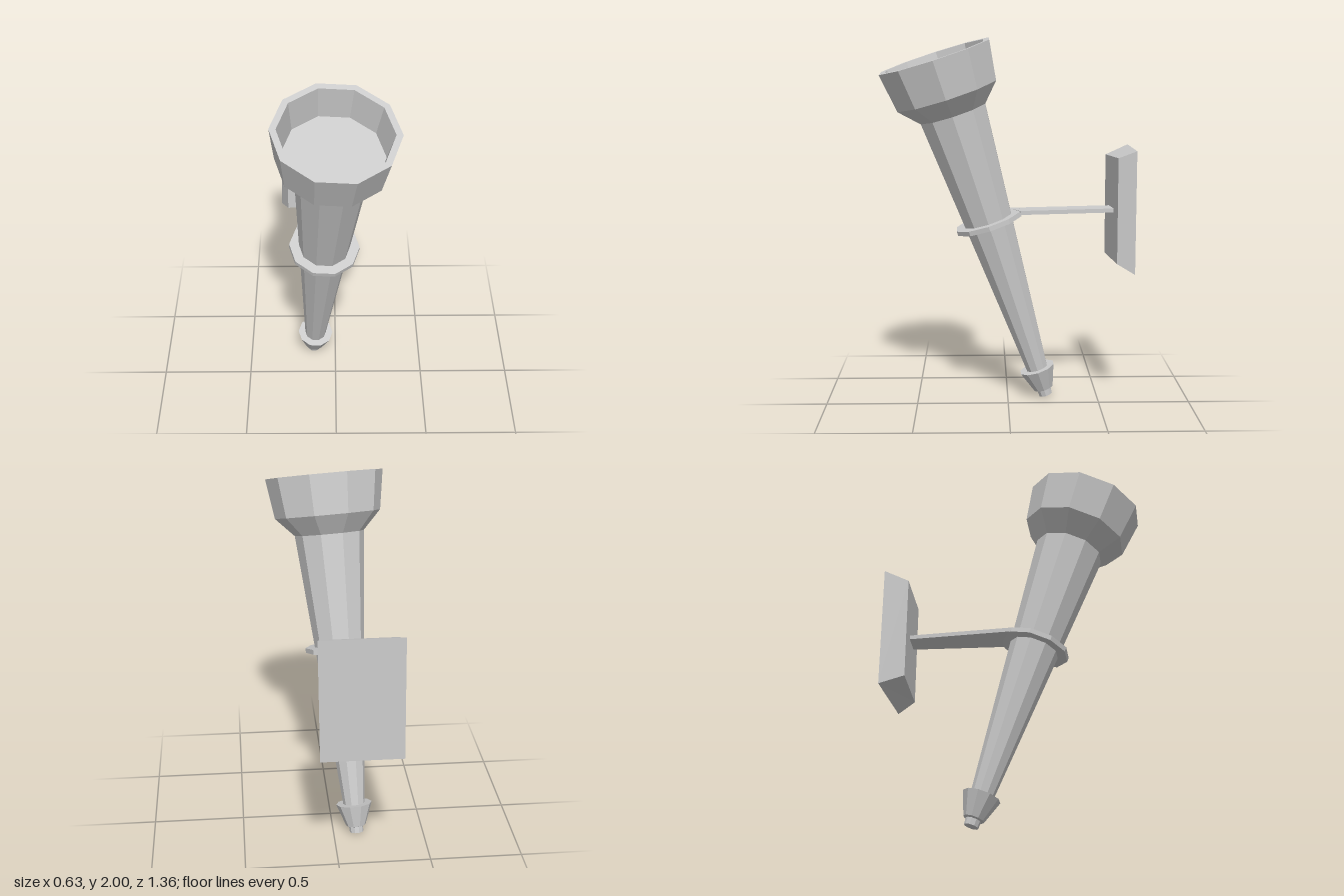
import * as THREE from 'three';

const material = new THREE.MeshStandardMaterial({ color: 0xcccccc, flatShading: true });

// Faceted mesh with one normal per face
function facetedMesh(name, geometry) {
  const flat = geometry.toNonIndexed();
  flat.computeVertexNormals();
  const mesh = new THREE.Mesh(flat, material);
  mesh.name = name;
  return mesh;
}

// Ten-sided turned part with corners on the x axis; profile is [radius, height]
function turned(name, profile) {
  const points = profile.map(([r, y]) => new THREE.Vector2(r, y));
  return facetedMesh(name, new THREE.LatheGeometry(points, 10, Math.PI / 2));
}

// Box whose eight corners are placed by a rule taking the signs of x, y and z
function block(name, corner) {
  const geometry = new THREE.BoxGeometry(2, 2, 2);
  const p = geometry.attributes.position;
  for (let i = 0; i < p.count; i++) {
    p.setXYZ(i, ...corner(p.getX(i) > 0, p.getY(i) > 0, p.getZ(i) > 0));
  }
  return facetedMesh(name, geometry);
}

export function createModel() {
  const model = new THREE.Group();
  model.name = 'wallTorch';

  // Torch, turned upright and then leaned from its tip to the bowl centre
  const tip = new THREE.Vector3(-0.128, 0.017, -0.214);
  const top = new THREE.Vector3(0, 1.905, 0.39);
  const axis = top.clone().sub(tip);
  const length = axis.length();
  const torch = new THREE.Group();
  torch.name = 'torch';
  torch.position.copy(tip);
  torch.quaternion.setFromUnitVectors(new THREE.Vector3(0, 1, 0), axis.normalize());
  torch.add(
    turned('finial', [[0, 0], [0.038, 0], [0.04, 0.035], [0.055, 0.04], [0.1, 0.165], [0, 0.165]]),
    turned('shaft', [[0.06, 0.16], [0.188, length - 0.316]]),
    // Flared bowl with a thick rim and a recessed floor
    turned('bowl', [
      [0, length - 0.316], [0.188, length - 0.316], [0.286, length - 0.214],
      [0.318, length], [0.284, length], [0.255, length - 0.17], [0, length - 0.17],
    ]),
    turned('collar', [[0.13, 1.032], [0.188, 1.032], [0.188, 1.058], [0.13, 1.058], [0.13, 1.032]]),
  );
  model.add(torch);

  // Thin arm that narrows from the collar to the wall plate
  model.add(block('arm', (right, up, front) => {
    const thickness = up ? 0.011 : -0.011;
    if (!front) return [right ? -0.025 : -0.155, 1.075 + thickness, -0.58];
    return right ? [0, 1.066 + thickness, -0.065] : [-0.208, 1.055 + thickness, 0];
  }));

  // Wall plate with bevelled sides and a slightly skewed front face
  model.add(block('wallPlate', (right, up, front) => {
    if (front) return [right ? 0.09 : -0.273, up ? (right ? 1.37 : 1.357) : 0.8, right ? -0.582 : -0.551];
    return [right ? (up ? 0.122 : 0.112) : (up ? -0.305 : -0.315), up ? 1.41 : 0.745, -0.677];
  }));

  return model;
}
